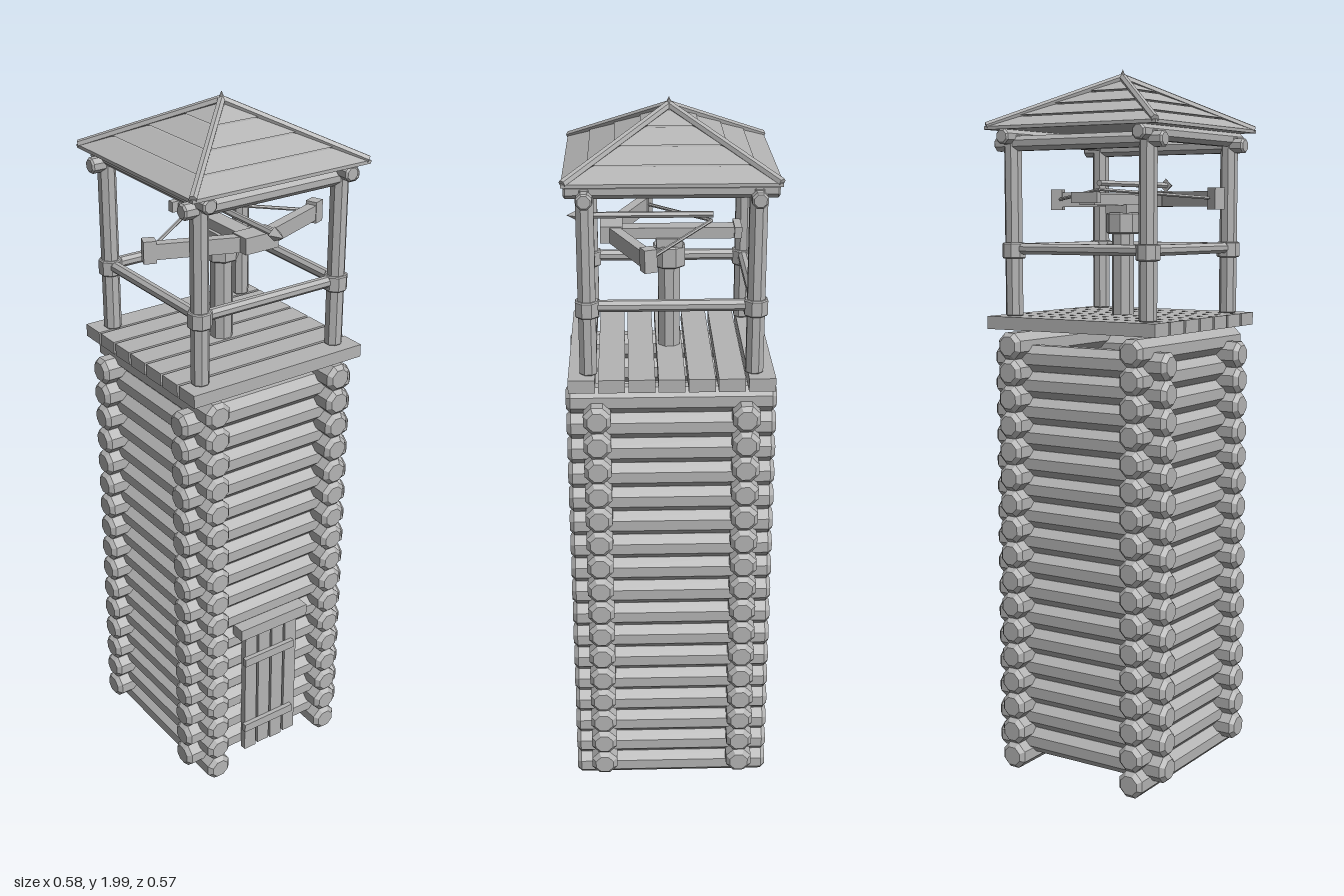
import * as THREE from 'three';

export function createModel() {
  const model = new THREE.Group();
  const wood = new THREE.MeshStandardMaterial({ color: 0xb4b4b4, flatShading: true });
  wood.name = 'grey wood';

  function add(name, geometry, x, y, z, parent = model) {
    const mesh = new THREE.Mesh(geometry, wood);
    mesh.name = name;
    mesh.position.set(x, y, z);
    parent.add(mesh);
    return mesh;
  }
  const box = (name, w, h, d, x, y, z, parent) =>
    add(name, new THREE.BoxGeometry(w, h, d), x, y, z, parent);

  // Eight-sided pole with chamfered ends, standing on its own y axis
  function pole(radius, length, chamfer) {
    const h = length / 2;
    const points = [[0, -h], [radius - chamfer, -h], [radius, -h + chamfer],
      [radius, h - chamfer], [radius - chamfer, h], [0, h]];
    return new THREE.LatheGeometry(points.map(p => new THREE.Vector2(...p)), 8, Math.PI / 8);
  }
  // Round or square bar between two points
  function bar(name, a, b, radius, sides = 8, parent = model) {
    const from = new THREE.Vector3(...a), to = new THREE.Vector3(...b);
    const direction = to.clone().sub(from);
    const geometry = new THREE.CylinderGeometry(radius, radius, direction.length(), sides, 1, false, Math.PI / sides);
    const mid = from.add(to).multiplyScalar(0.5);
    const mesh = add(name, geometry, mid.x, mid.y, mid.z, parent);
    mesh.quaternion.setFromUnitVectors(new THREE.Vector3(0, 1, 0), direction.normalize());
    return mesh;
  }

  // Interlocked log walls: side logs and front/back logs half a step apart
  const tower = new THREE.Group();
  tower.name = 'logTower';
  model.add(tower);
  const log = pole(0.04, 0.566, 0.012), step = 0.0745;
  for (const s of [-1, 1]) {
    for (let i = 0; i < 17; i++) {
      add('sideLog', log, s * 0.2, 0.045 + i * step, 0, tower).rotation.x = Math.PI / 2;
      if (i < 16) add('crossLog', log, 0, 0.0825 + i * step, s * 0.2, tower).rotation.z = Math.PI / 2;
    }
  }

  // Plank door
  const door = new THREE.Group();
  door.name = 'door';
  model.add(door);
  for (let i = 0; i < 4; i++)
    box('doorPlank', 0.041, 0.43 - (i % 2) * 0.008, 0.02, -0.072 + i * 0.048, 0.263, 0.247, door);
  box('doorLintel', 0.235, 0.036, 0.045, 0, 0.493, 0.25, door);
  for (const y of [0.14, 0.385]) box('doorBrace', 0.175, 0.026, 0.014, -0.013, y, 0.263, door);

  // Lookout floor
  for (let i = 0; i < 7; i++)
    box('floorPlank', 0.55, 0.036, 0.071, 0, 1.3, (i - 3) * 0.0795);

  // Corner posts, railings and top beams
  const post = pole(0.025, 0.5, 0.003), collar = pole(0.033, 0.044, 0.003);
  const beam = pole(0.022, 0.545, 0.005);
  for (const s of [-1, 1]) {
    for (const t of [-1, 1]) {
      add('cornerPost', post, s * 0.22, 1.568, t * 0.22);
      add('postCollar', collar, s * 0.22, 1.5, t * 0.22);
    }
    bar('frontRail', [-0.22, 1.505, s * 0.22], [0.22, 1.505, s * 0.22], 0.016);
    bar('sideRail', [s * 0.22, 1.505, -0.22], [s * 0.22, 1.505, 0.22], 0.016);
    add('frontTopBeam', beam, 0, 1.793, s * 0.22).rotation.z = Math.PI / 2;
    add('sideTopBeam', beam, s * 0.22, 1.811, 0).rotation.x = Math.PI / 2;
  }

  // Hipped roof of overlapping plank courses
  const roof = new THREE.Group();
  roof.name = 'roof';
  model.add(roof);
  const courses = [0.276, 0.212, 0.144, 0.075, 0.002];
  const roofY = r => 1.977 - r * 0.5;
  function squareFrustum(name, top, bottom, y0, y1) {
    const g = new THREE.CylinderGeometry(top * Math.SQRT2, bottom * Math.SQRT2, y1 - y0, 4, 1, false, Math.PI / 4);
    add(name, g, 0, (y0 + y1) / 2, 0, roof);
  }
  squareFrustum('eavesBoard', 0.276, 0.276, 1.83, roofY(0.276));
  for (let i = 0; i < 4; i++) {
    const a = courses[i], b = courses[i + 1];
    squareFrustum('roofCourse', b, a, roofY(a), roofY(b) - 0.004);
  }
  for (const s of [-1, 1])
    for (const t of [-1, 1])
      bar('hipPole', [s * 0.272, 1.84, t * 0.272], [0, 1.978, 0], 0.011, 6, roof);
  add('finial', new THREE.ConeGeometry(0.02, 0.045, 8), 0, 1.9775, 0, roof);

  // Mounted bolt thrower on a pedestal
  const thrower = new THREE.Group();
  thrower.name = 'boltThrower';
  model.add(thrower);
  add('pedestal', pole(0.032, 0.25, 0.002), 0, 1.435, 0, thrower);
  add('pedestalCap', pole(0.047, 0.06, 0.004), 0, 1.575, 0, thrower);
  box('swivel', 0.07, 0.025, 0.07, 0, 1.615, 0, thrower);
  box('stock', 0.05, 0.03, 0.36, 0, 1.64, 0, thrower);
  box('bowBlock', 0.105, 0.045, 0.06, 0, 1.645, 0.155, thrower);
  box('rearGrip', 0.085, 0.03, 0.02, 0, 1.645, -0.185, thrower);
  for (const s of [-1, 1]) {
    const arm = box('bowArm', 0.25, 0.042, 0.028, s * 0.15, 1.643, 0.107, thrower);
    arm.rotation.y = s * 0.37;
    const tip = box('bowTip', 0.034, 0.06, 0.034, s * 0.267, 1.643, 0.06, thrower);
    tip.rotation.y = s * 0.37;
    bar('bowString', [s * 0.267, 1.643, 0.06], [0, 1.668, -0.115], 0.005, 6, thrower);
  }
  bar('boltShaft', [0, 1.685, -0.12], [0, 1.685, 0.245], 0.009, 6, thrower);
  add('boltHead', new THREE.ConeGeometry(0.02, 0.04, 4), 0, 1.685, 0.255, thrower).rotation.x = Math.PI / 2;

  return model;
}
